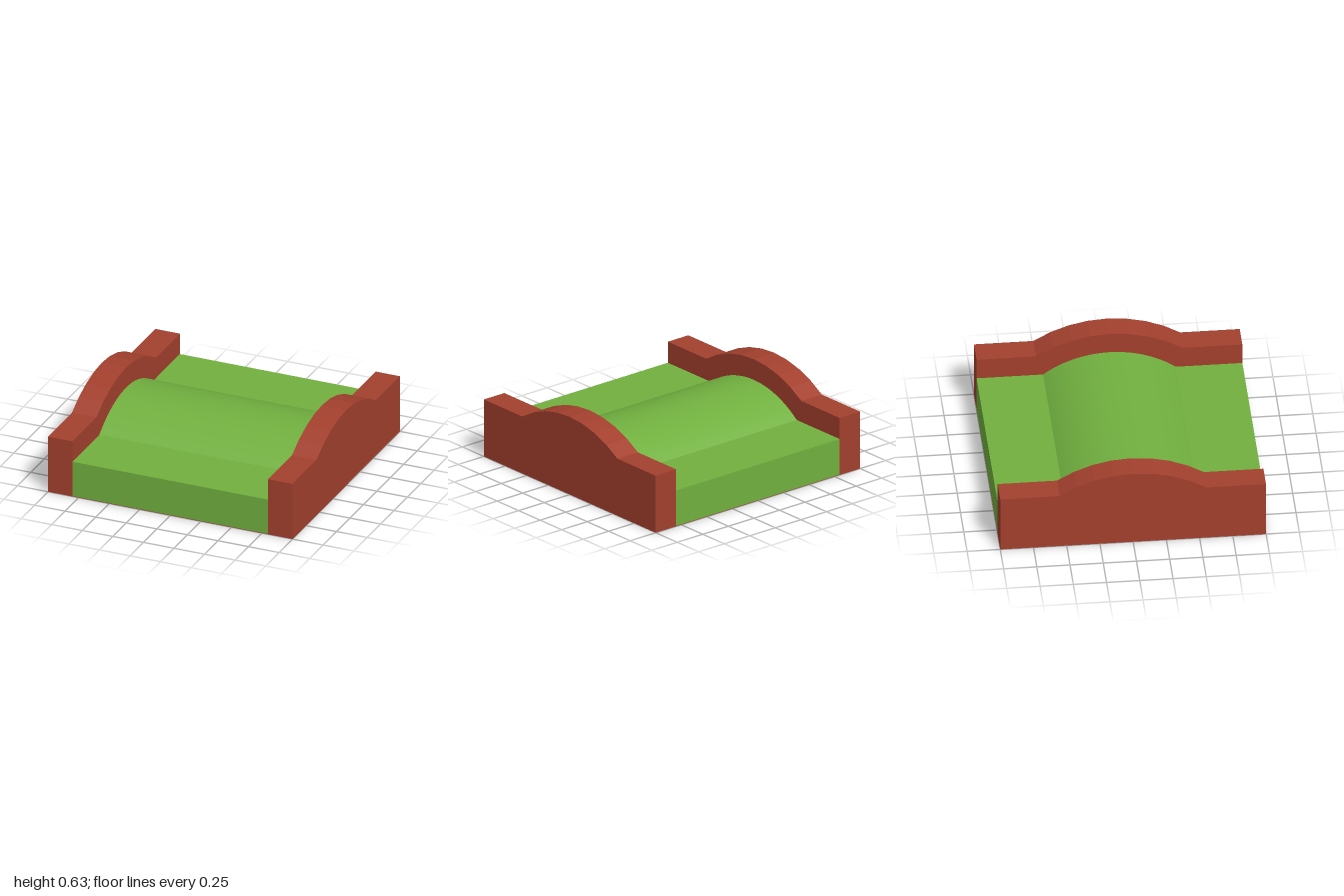
import * as THREE from 'three';

const red = new THREE.MeshStandardMaterial({ color: 0xa3402e });
const green = new THREE.MeshStandardMaterial({ color: 0x71b03f });

function add(group, name, geometry, material, x = 0, y = 0, z = 0) {
  const mesh = new THREE.Mesh(geometry, material);
  mesh.name = name;
  mesh.position.set(x, y, z);
  group.add(mesh);
  return mesh;
}

// Side wall: flat rail with a faceted circular arch in the middle
function wallGeometry() {
  const radius = 1, centre = -0.373, half = Math.asin(0.553), steps = 8;
  const shape = new THREE.Shape();
  shape.moveTo(-1, 0);
  shape.lineTo(1, 0);
  shape.lineTo(1, 0.46);
  for (let i = 0; i <= steps; i++) {
    const a = half * (1 - (2 * i) / steps);
    shape.lineTo(radius * Math.sin(a), centre + radius * Math.cos(a));
  }
  shape.lineTo(-1, 0.46);
  shape.closePath();
  const geometry = new THREE.ExtrudeGeometry(shape, { depth: 0.2, bevelEnabled: false });
  return geometry.rotateY(Math.PI / 2);
}

export function createModel() {
  const model = new THREE.Group();
  model.name = 'humpLane';

  // Mirrored side walls
  const wall = wallGeometry();
  add(model, 'leftWall', wall, red, 0.8);
  add(model, 'rightWall', wall, red, -1);

  // Thin underside and the turf slab above it
  const plate = 0.004, turfTop = 0.29;
  add(model, 'basePlate', new THREE.BoxGeometry(1.6, plate, 2), red, 0, plate / 2);
  add(model, 'turfSlab', new THREE.BoxGeometry(1.6, turfTop - plate, 2), green, 0, (turfTop + plate) / 2);

  // Smooth hump across the lane, its ends closed by the walls
  const radius = 0.82, half = Math.asin(0.5 / radius);
  const hump = new THREE.CylinderGeometry(radius, radius, 1.6, 24, 1, true, Math.PI / 2 - half, 2 * half);
  add(model, 'turfHump', hump.rotateZ(Math.PI / 2), green, 0, 0.46 - radius);

  return model;
}
